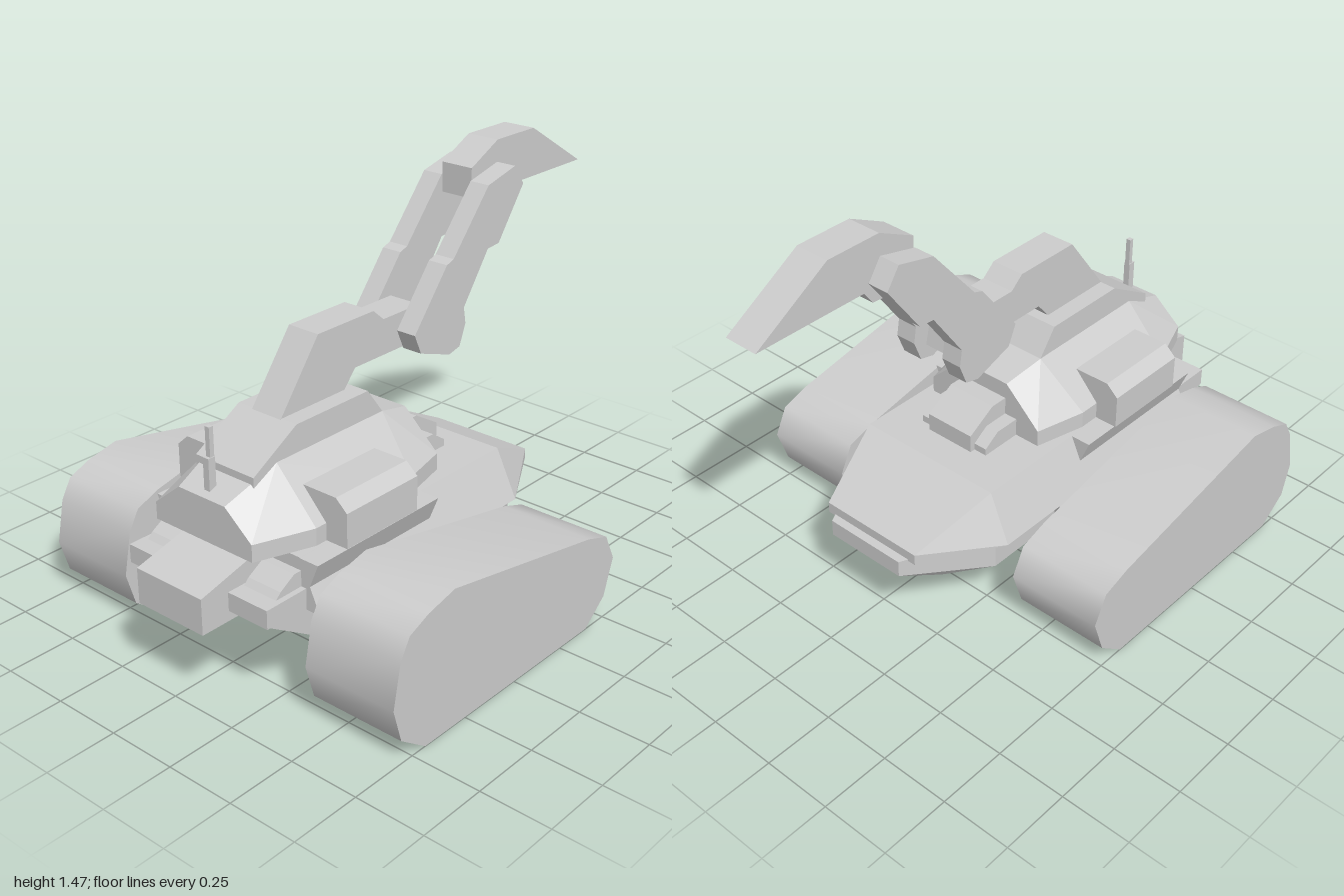
import * as THREE from 'three';
import { toCreasedNormals } from 'three/addons/utils/BufferGeometryUtils.js';
import { ConvexGeometry } from 'three/addons/geometries/ConvexGeometry.js';

export function createModel() {
  const model = new THREE.Group();
  const grey = new THREE.MeshStandardMaterial({ color: 0xcccccc });
  grey.name = 'light grey';

  const add = (name, geometry) => {
    const mesh = new THREE.Mesh(geometry, grey);
    mesh.name = name;
    model.add(mesh);
    return mesh;
  };
  const shapeOf = (pts) => new THREE.Shape(pts.map(([a, b]) => new THREE.Vector2(a, b)));
  // Side profile of [z, y] points, extruded across x0..x1
  const side = (profile, x0, x1) =>
    new THREE.ExtrudeGeometry(shapeOf(profile.map(([z, y]) => [-z, y])), { depth: x1 - x0, bevelEnabled: false })
      .rotateY(Math.PI / 2).translate(x0, 0, 0);
  // Front profile of [x, y] points, extruded along z0..z1
  const front = (profile, z0, z1) =>
    new THREE.ExtrudeGeometry(shapeOf(profile), { depth: z1 - z0, bevelEnabled: false }).translate(0, 0, z0);
  // Faceted solid around [x, y, z] points mirrored in x
  const faceted = (pts) => new ConvexGeometry(pts.flatMap(([x, y, z]) =>
    [new THREE.Vector3(x, y, z), new THREE.Vector3(-x, y, z)]));
  const box = (x0, x1, y0, y1, z0, z1) =>
    new THREE.BoxGeometry(x1 - x0, y1 - y0, z1 - z0).translate((x0 + x1) / 2, (y0 + y1) / 2, (z0 + z1) / 2);
  // The same part on both sides, given the x range on the left side
  const sidePair = (name, profile, x0, x1) => {
    add('left' + name, side(profile, x0, x1));
    add('right' + name, side(profile, -x1, -x0));
  };

  // Tracks with smooth rims
  const track = [[0.835, 0.2], [0.8, 0.08], [0.69, 0], [-0.15, 0], [-0.25, 0.08], [-0.295, 0.21],
    [-0.245, 0.31], [-0.14, 0.345], [0.56, 0.482], [0.68, 0.455], [0.765, 0.42], [0.805, 0.35]];
  for (const [name, x] of [['leftTrack', 0.405], ['rightTrack', -0.75]])
    add(name, toCreasedNormals(side(track, x, x + 0.345), 1.0));

  // Axle brackets flaring out towards the tracks
  for (const s of [1, -1]) {
    const pts = [];
    for (const y of [0.18, 0.28])
      for (const [x, z] of [[0.3, 0.04], [0.36, 0.04], [0.41, -0.02], [0.41, 0.63], [0.36, 0.57], [0.3, 0.57]])
        pts.push(new THREE.Vector3(s * x, y, z));
    add(s > 0 ? 'leftAxleBracket' : 'rightAxleBracket', new ConvexGeometry(pts));
  }

  // Hull: upper body with chamfered flanks and a tapering rear
  add('upperHull', faceted([
    [0.28, 0.478, 0.72], [0.36, 0.305, 0.72], [0.28, 0.478, -0.265], [0.36, 0.305, -0.27],
    [0.2, 0.345, -0.545], [0.2, 0.305, -0.545]]));
  add('lowerHull', faceted([
    [0.305, 0.32, 0.885], [0.305, 0.18, 0.66], [0.305, 0.32, -0.27], [0.305, 0.18, -0.27],
    [0.2, 0.18, -0.42], [0.155, 0.31, -0.575], [0.155, 0.25, -0.575]]));
  add('fender', front([[-0.355, 0.476], [-0.32, 0.39], [0.32, 0.39], [0.355, 0.476]], 0.15, 0.72));
  add('frontShelf', box(-0.305, 0.305, 0.315, 0.38, 0.7, 0.89));
  add('nose', side([[1, 0.28], [1, 0.405], [0.72, 0.475], [0.65, 0.475], [0.65, 0.28]], -0.142, 0.142));
  sidePair('HeadlampHousing',
    [[0.83, 0.38], [0.81, 0.4], [0.75, 0.435], [0.71, 0.435], [0.71, 0.38]], 0.15, 0.285);

  // Turret
  add('turret', faceted([
    [0.21, 0.49, 0.85], [0.21, 0.55, 0.85], [0.1, 0.64, 0.85],
    [0.285, 0.49, 0.65], [0.285, 0.55, 0.65], [0.125, 0.72, 0.65],
    [0.285, 0.49, 0.2], [0.285, 0.55, 0.2], [0.125, 0.72, 0.16],
    [0.24, 0.49, 0.015], [0.24, 0.55, 0.015], [0.1, 0.68, 0.015]]));
  add('turretCap', side([[0.75, 0.66], [0.75, 0.705], [0.56, 0.815], [0.23, 0.815], [0.16, 0.72], [0.16, 0.66]],
    -0.125, 0.125));

  // Pods on the turret flanks
  const pod = [[0.19, 0.49], [0.37, 0.49], [0.37, 0.61], [0.325, 0.65], [0.19, 0.65]];
  add('leftPod', front(pod, 0.275, 0.605));
  add('rightPod', front(pod.map(([x, y]) => [-x, y]), 0.275, 0.605));

  // Rear housing with a smaller block on each side
  add('rearHousing', side([[0.05, 0.49], [0.05, 0.62], [-0.05, 0.62], [-0.16, 0.555], [-0.16, 0.49]], -0.095, 0.095));
  sidePair('RearBlock', [[0.03, 0.49], [0.03, 0.555], [-0.08, 0.555], [-0.14, 0.515], [-0.14, 0.49]], 0.095, 0.145);

  // Antenna
  add('antennaBase', box(-0.012, 0.012, 0.62, 0.76, 0.797, 0.825));
  add('antennaRod', box(-0.009, 0.009, 0.74, 0.86, 0.797, 0.814));

  // Boom, paired arm plates and claw
  add('boom', side([[0.57, 0.805], [0.39, 1.043], [0.13, 1.043], [0.08, 1.0], [-0.1, 1.0], [-0.18, 0.96],
    [-0.2, 0.875], [0.22, 0.875], [0.28, 0.805]], -0.062, 0.062));
  sidePair('ArmPlate', [[0.012, 0.94], [-0.15, 1.14], [-0.185, 1.152], [-0.365, 1.362], [-0.51, 1.397],
    [-0.56, 1.325], [-0.43, 1.145], [-0.37, 1.14], [-0.245, 0.965], [-0.255, 0.905], [-0.225, 0.83],
    [-0.17, 0.817], [-0.02, 0.868]], 0.062, 0.138);
  add('claw', side([[-0.37, 1.3], [-0.37, 1.405], [-0.51, 1.474], [-0.715, 1.474], [-1, 1.3]], -0.062, 0.062));

  return model;
}
